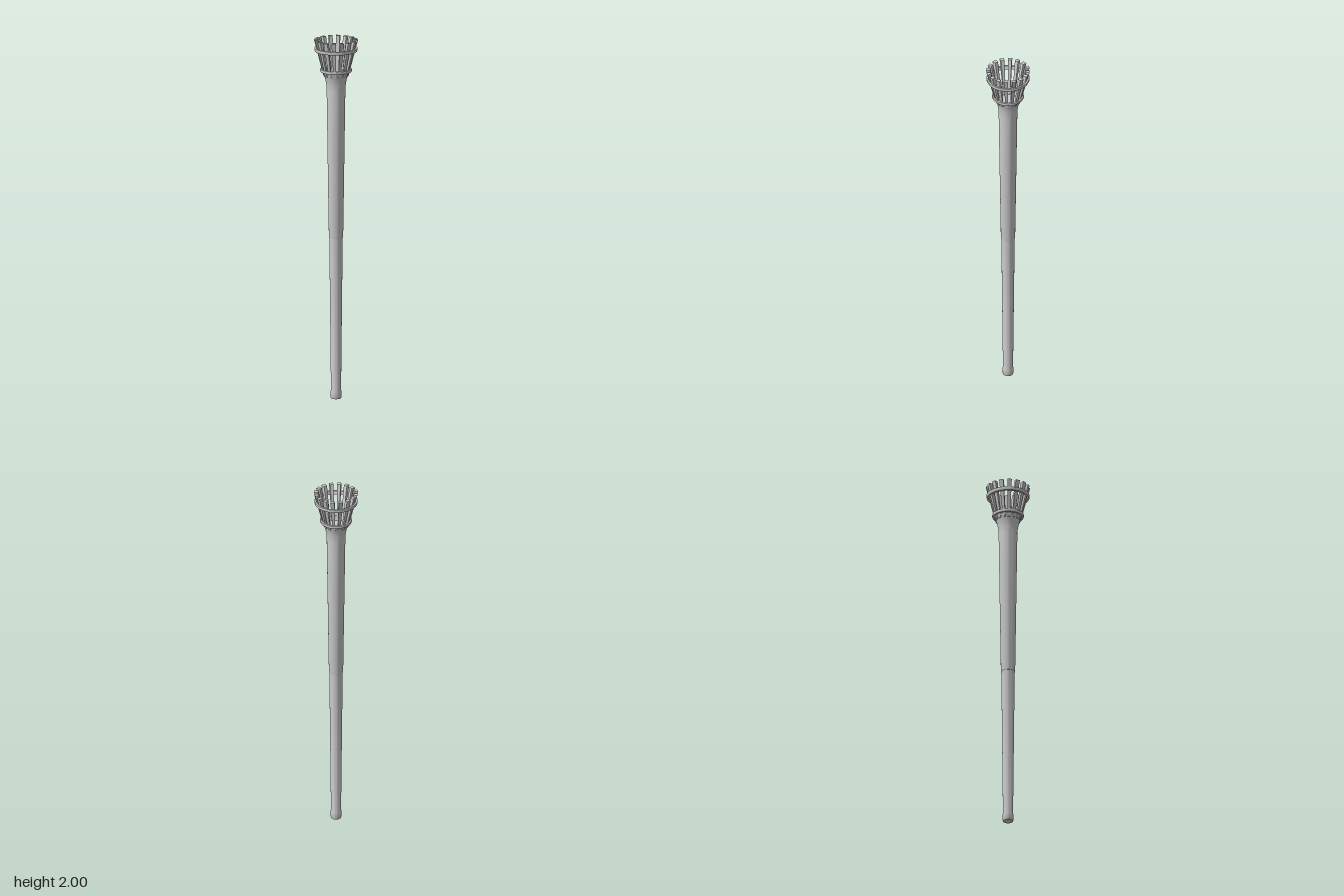
import * as THREE from 'three';
import { toCreasedNormals } from 'three/addons/utils/BufferGeometryUtils.js';

const SIDES = 32;
const SLATS = 16;
const material = new THREE.MeshStandardMaterial({ color: 0xcccccc });

// Revolves [radius, height] points about y; points run upward on the outside.
function revolve(name, points, start = 0, sweep = Math.PI * 2, segments = SIDES) {
  const profile = points.map(([r, y]) => new THREE.Vector2(r, y));
  const geometry = new THREE.LatheGeometry(profile, segments, start, sweep);
  const mesh = new THREE.Mesh(toCreasedNormals(geometry, 0.5), material);
  mesh.name = name;
  return mesh;
}

// Closed band with a slanted section that follows the basket.
function band(name, inner, outer, y0, y1, slant) {
  return revolve(name, [
    [inner, y0], [outer - 0.003, y0], [outer, (y0 + y1) / 2],
    [outer - 0.001, y1], [inner + slant, y1], [inner, y0],
  ]);
}

// One slat: a leaning block bounded by inner and outer radii at both ends.
function slatGeometry(angle) {
  const low = [0.061, 0.069, 1.8], high = [0.098, 0.12, 2];
  const corners = [];
  for (const [inner, outer, y] of [low, high]) {
    for (const [r, a] of [[inner, 0], [outer, 0], [outer, angle], [inner, angle]]) {
      corners.push(r * Math.sin(a), y, r * Math.cos(a));
    }
  }
  const index = [];
  const quad = (a, b, c, d) => index.push(a, b, c, a, c, d);
  for (let i = 0; i < 4; i++) {
    const j = (i + 1) % 4;
    quad(i, j, j + 4, i + 4);
  }
  quad(3, 2, 1, 0);
  quad(4, 5, 6, 7);
  const geometry = new THREE.BufferGeometry();
  geometry.setAttribute('position', new THREE.Float32BufferAttribute(corners, 3));
  geometry.setIndex(index);
  const flat = geometry.toNonIndexed();
  flat.computeVertexNormals();
  return flat;
}

export function createModel() {
  const torch = new THREE.Group();
  torch.name = 'torch';

  // Tapered handle in two sleeves with a small foot
  torch.add(revolve('lowerHandle', [
    [0, 0], [0.027, 0], [0.029, 0.006], [0.029, 0.04], [0.0275, 0.05],
    [0.0365, 0.9], [0, 0.9],
  ]));
  torch.add(revolve('upperHandle', [
    [0, 0.895], [0.0375, 0.895], [0.039, 0.905], [0.051, 1.725], [0, 1.725],
  ]));

  // Flared cup with a recessed floor
  torch.add(revolve('cup', [
    [0, 1.72], [0.051, 1.72], [0.053, 1.75], [0.058, 1.78], [0.066, 1.805],
    [0.073, 1.822], [0.067, 1.822], [0.062, 1.797], [0.053, 1.795], [0, 1.795],
  ]));

  // Basket of slats
  const slats = new THREE.Group();
  slats.name = 'slats';
  const step = (Math.PI * 2) / SLATS;
  const geometry = slatGeometry(step / 2);
  for (let i = 0; i < SLATS; i++) {
    const slat = new THREE.Mesh(geometry, material);
    slat.name = 'slat';
    slat.rotation.y = i * step;
    slats.add(slat);
  }
  torch.add(slats);

  // Hoops around the slats
  torch.add(band('lowerHoop', 0.07, 0.087, 1.822, 1.838, 0.003));
  torch.add(band('upperHoop', 0.101, 0.118, 1.937, 1.955, 0.006));

  return torch;
}
